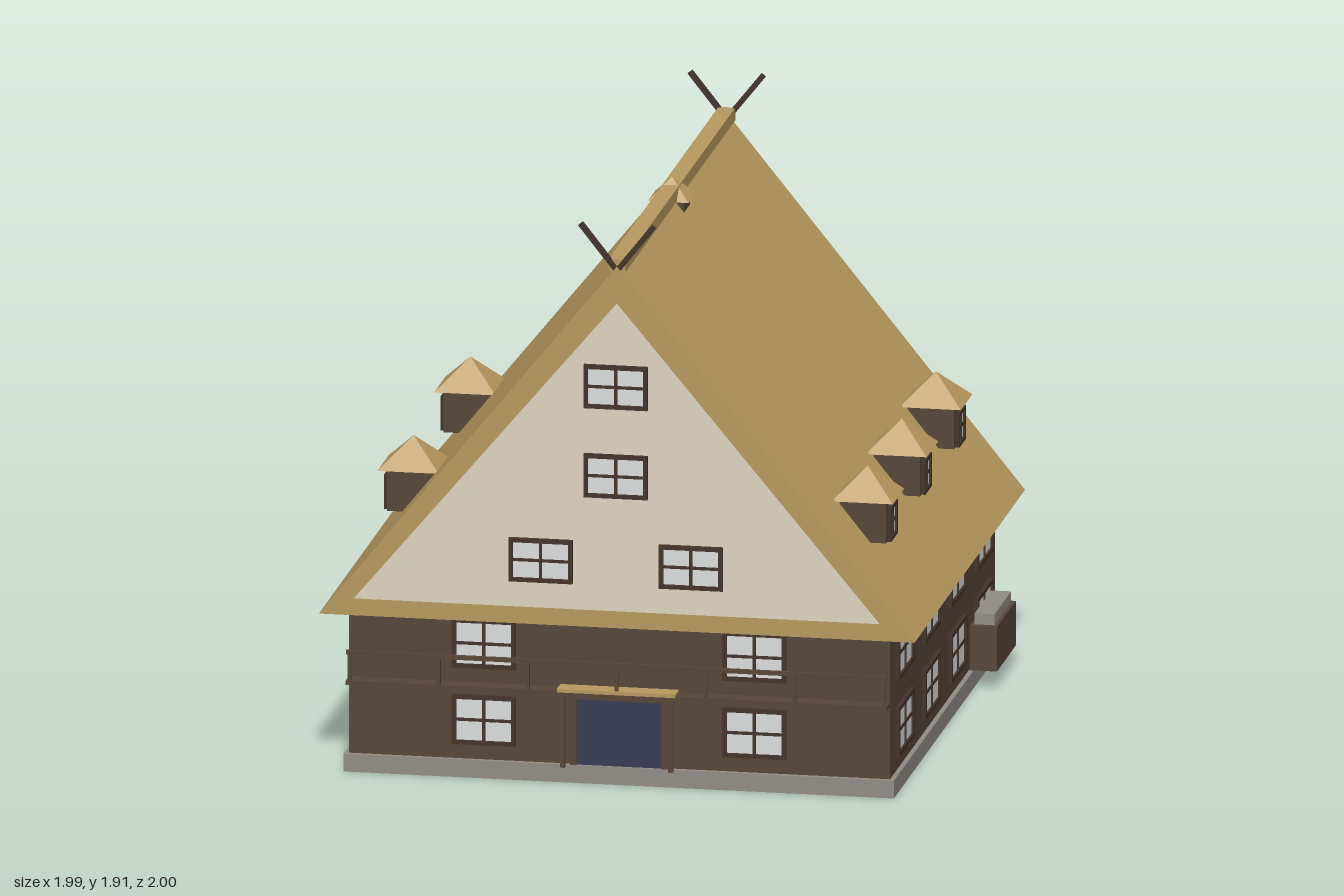
import * as THREE from 'three';

const mat = (name, color) => Object.assign(new THREE.MeshStandardMaterial({ color }), { name });

export function createModel() {
  const M = {
    thatch: mat('thatch', 0xb89a5f),
    wood: mat('brown wood', 0x584638),
    dark: mat('dark timber', 0x43332a),
    plaster: mat('cream plaster', 0xdfd4c0),
    glass: mat('window glass', 0xdcdfdf),
    stone: mat('grey stone', 0x928d85),
    door: mat('blue door', 0x383a55),
  };
  const root = new THREE.Group();
  root.name = 'farmhouse';
  root.position.x = -0.003;

  const add = (parent, name, geo, m) => {
    const mesh = new THREE.Mesh(geo, m);
    mesh.name = name;
    parent.add(mesh);
    return mesh;
  };
  // box given by its min and max corners
  const box = (parent, name, m, x0, x1, y0, y1, z0, z1) => {
    const mesh = add(parent, name, new THREE.BoxGeometry(x1 - x0, y1 - y0, z1 - z0), m);
    mesh.position.set((x0 + x1) / 2, (y0 + y1) / 2, (z0 + z1) / 2);
    return mesh;
  };
  // triangular prism along z, centred on z
  const prism = (name, m, halfW, y0, y1, depth, z) => {
    const s = new THREE.Shape([[-halfW, y0], [halfW, y0], [0, y1]].map(p => new THREE.Vector2(...p)));
    const geo = new THREE.ExtrudeGeometry(s, { depth, bevelEnabled: false });
    add(root, name, geo.translate(0, 0, z - depth / 2), m);
  };
  // four-sided roof with a square foot
  const pyramid = (parent, name, half, h, x, y, z) => {
    const geo = new THREE.ConeGeometry(half * Math.SQRT2, h, 4).rotateY(Math.PI / 4).toNonIndexed();
    geo.computeVertexNormals();
    add(parent, name, geo, M.thatch).position.set(x, y + h / 2, z);
  };
  // four-pane window facing +z, turned by angle; back of the frame at the given point
  const windowAt = (parent, x, y, z, w, h, angle, bar = 0.014) => {
    const g = new THREE.Group();
    g.name = 'window';
    const a = w / 2, b = h / 2, d = 0.015;
    box(g, 'glass', M.glass, -a + bar / 2, a - bar / 2, -b + bar / 2, b - bar / 2, 0, 0.007);
    for (const s of [-1, 1]) {
      box(g, 'frameSide', M.dark, s * (a - bar / 2) - bar / 2, s * (a - bar / 2) + bar / 2, -b, b, 0, d);
      box(g, 'frameRail', M.dark, -a + bar, a - bar, s * (b - bar / 2) - bar / 2, s * (b - bar / 2) + bar / 2, 0, d);
    }
    box(g, 'mullion', M.dark, -0.005, 0.005, -b + bar, b - bar, 0, 0.012);
    box(g, 'crossbar', M.dark, -a + bar, a - bar, -0.005, 0.005, 0, 0.011);
    g.position.set(x, y, z);
    g.rotation.y = angle;
    parent.add(g);
  };

  // body of the house
  box(root, 'foundation', M.stone, -0.916, 0.916, 0, 0.06, -0.942, 0.942);
  box(root, 'walls', M.wood, -0.9, 0.9, 0.06, 0.545, -0.925, 0.925);
  prism('roof', M.thatch, 0.991, 0.54, 1.765, 1.95, 0);
  box(root, 'ridgeCap', M.thatch, -0.028, 0.028, 1.745, 1.788, -0.968, 0.968);

  // gable ends, mirrored front and back
  for (const s of [-1, 1]) {
    const angle = s > 0 ? 0 : Math.PI;
    prism('gablePanel', M.plaster, 0.873, 0.6, 1.64, 0.011, s * 0.98);
    for (const [x, y] of [[0, 1.36], [0, 1.058], [-0.25, 0.761], [0.25, 0.761]])
      windowAt(root, x, y, s * 0.985, 0.212, 0.147, angle);
    for (const x of [-0.45, 0.45])
      for (const y of [0.194, 0.453]) windowAt(root, x, y, s * 0.924, 0.212, 0.167, angle);
    // splayed finials on the ridge
    for (const t of [-1, 1]) {
      const stick = add(root, 'gableFinial', new THREE.BoxGeometry(0.018, 0.2, 0.014), M.dark);
      stick.position.set(t * 0.06, 1.825, s * 0.966);
      stick.rotation.z = -t * 0.67;
    }
  }

  // long sides
  for (const s of [-1, 1])
    for (const z of [-0.695, -0.23, 0.23, 0.695])
      for (const y of [0.194, 0.453]) windowAt(root, s * 0.899, y, z, 0.268, 0.167, s * Math.PI / 2);

  // dormers: three on the left slope, two on the right
  for (const [s, z] of [[1, -0.6], [1, 0], [1, 0.6], [-1, -0.5], [-1, 0.5]]) {
    const g = new THREE.Group();
    g.name = 'dormer';
    box(g, 'dormerBody', M.wood, s * 0.763 - 0.077, s * 0.763 + 0.077, 0.79, 0.932, z - 0.078, z + 0.078);
    pyramid(g, 'dormerRoof', 0.102, 0.1, s * 0.765, 0.93, z);
    windowAt(g, s * 0.839, 0.848, z, 0.115, 0.115, s * Math.PI / 2, 0.012);
    root.add(g);
  }

  // ridge vent
  box(root, 'ridgeVent', M.wood, -0.05, 0.05, 1.705, 1.745, -0.05, 0.05);
  pyramid(root, 'ventRoof', 0.068, 0.07, 0, 1.742, 0);

  // balcony
  box(root, 'balconyDeck', M.wood, -0.9, 0.9, 0.305, 0.32, 0.92, 0.985);
  box(root, 'balconyRail', M.wood, -0.9, 0.9, 0.408, 0.422, 0.971, 0.983);
  for (let i = -3; i <= 3; i++)
    box(root, 'balconyPost', M.wood, i * 0.296 - 0.006, i * 0.296 + 0.006, 0.32, 0.422, 0.972, 0.982);

  // door, its frame and the porch
  box(root, 'door', M.door, -0.14, 0.14, 0.06, 0.283, 0.92, 0.933);
  box(root, 'doorLintel', M.wood, -0.165, 0.165, 0.283, 0.303, 0.92, 0.94);
  for (const s of [-1, 1]) {
    box(root, 'doorJamb', M.wood, s * 0.152 - 0.012, s * 0.152 + 0.012, 0.06, 0.283, 0.92, 0.94);
    box(root, 'porchPost', M.wood, s * 0.18 - 0.008, s * 0.18 + 0.008, 0.06, 0.305, 0.967, 0.982);
  }
  box(root, 'porchCanopy', M.thatch, -0.197, 0.197, 0.316, 0.328, 0.92, 0.988);

  // storage bench on the left wall
  box(root, 'bench', M.wood, 0.905, 0.995, 0.062, 0.213, -0.79, -0.457);
  box(root, 'benchTop', M.stone, 0.917, 0.983, 0.213, 0.25, -0.77, -0.477);

  return root;
}
